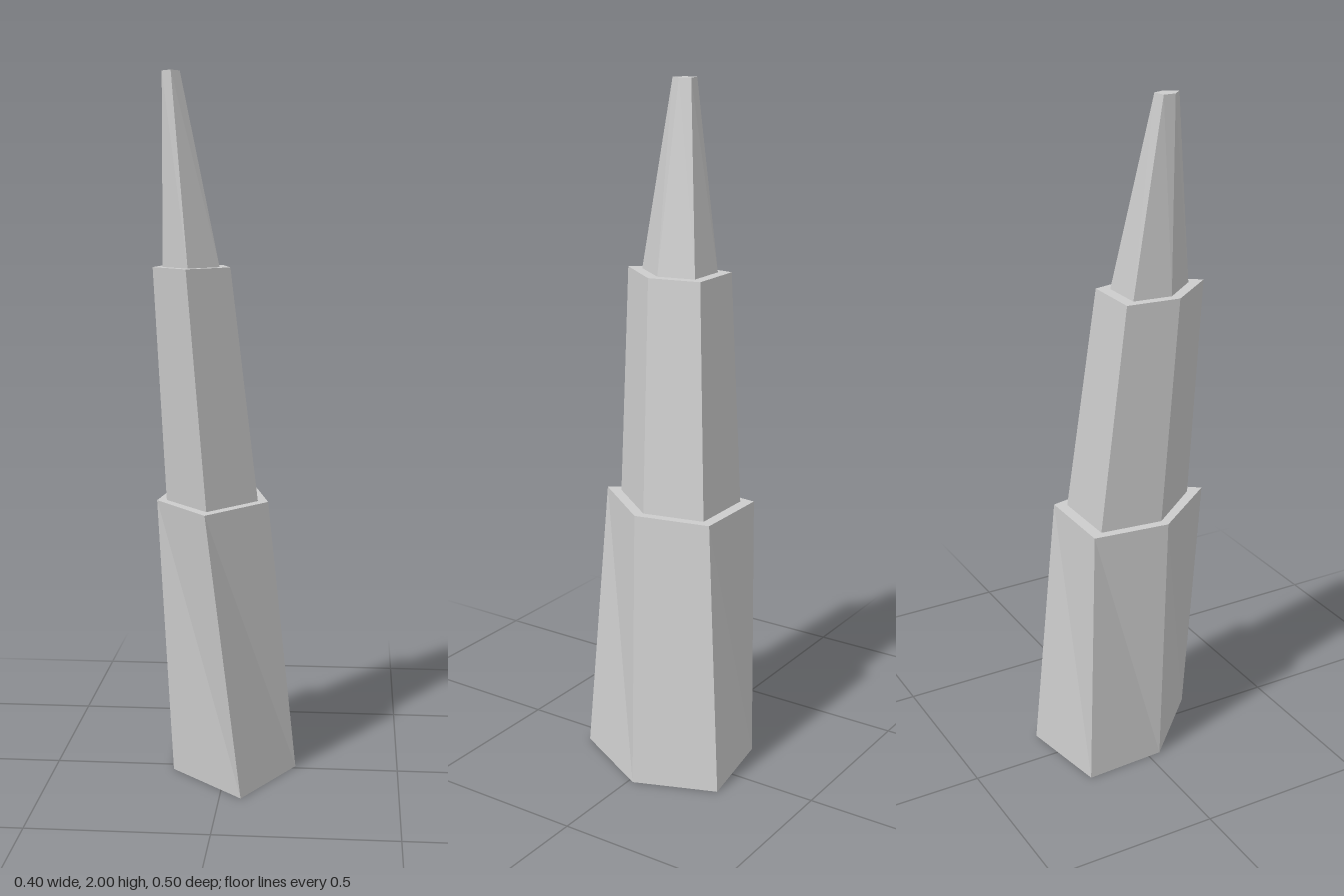
import * as THREE from 'three';

const stone = new THREE.MeshStandardMaterial({ color: 0xcccccc });
stone.name = 'lightGrey';

// Closed, flat-faced solid between two outlines of [x, z] corners (clockwise from above)
function loft(name, y0, bottom, y1, top) {
  const b = bottom.map(([x, z]) => [x, y0, z]);
  const t = top.map(([x, z]) => [x, y1, z]);
  const n = b.length;
  const pos = [];
  const tri = (p, q, r) => pos.push(...p, ...q, ...r);
  for (let i = 0; i < n; i++) {
    const j = (i + 1) % n;
    tri(b[i], t[i], t[j]);
    tri(b[i], t[j], b[j]);
    if (i > 0 && j > 0) {
      tri(t[0], t[j], t[i]); // top cap
      tri(b[0], b[i], b[j]); // bottom cap
    }
  }
  const geometry = new THREE.BufferGeometry();
  geometry.setAttribute('position', new THREE.Float32BufferAttribute(pos, 3));
  geometry.computeVertexNormals();
  const mesh = new THREE.Mesh(geometry, stone);
  mesh.name = name;
  return mesh;
}

export function createModel() {
  const group = new THREE.Group();
  group.name = 'leaningSpire';

  // Wide five-sided foot
  group.add(loft('lowerTier',
    0, [[-0.163, -0.204], [0.11, -0.25], [0.202, -0.014], [0.06, 0.247], [-0.152, 0.038]],
    0.8, [[-0.172, -0.19], [0.073, -0.191], [0.121, 0.03], [-0.04, 0.24], [-0.197, 0.032]]));

  // Narrower middle shaft
  group.add(loft('middleTier',
    0.8, [[-0.15, -0.157], [0.052, -0.159], [0.091, 0.02], [-0.04, 0.19], [-0.17, 0.025]],
    1.465, [[-0.186, -0.096], [-0.018, -0.098], [0.015, 0.053], [-0.094, 0.197], [-0.202, 0.057]]));

  // Tapered tip with a small flat end
  group.add(loft('tip',
    1.465, [[-0.163, -0.064], [-0.041, -0.066], [-0.016, 0.043], [-0.094, 0.148], [-0.175, 0.047]],
    2, [[-0.174, 0.016], [-0.136, 0.011], [-0.125, 0.045], [-0.146, 0.079], [-0.174, 0.051]]));

  return group;
}
